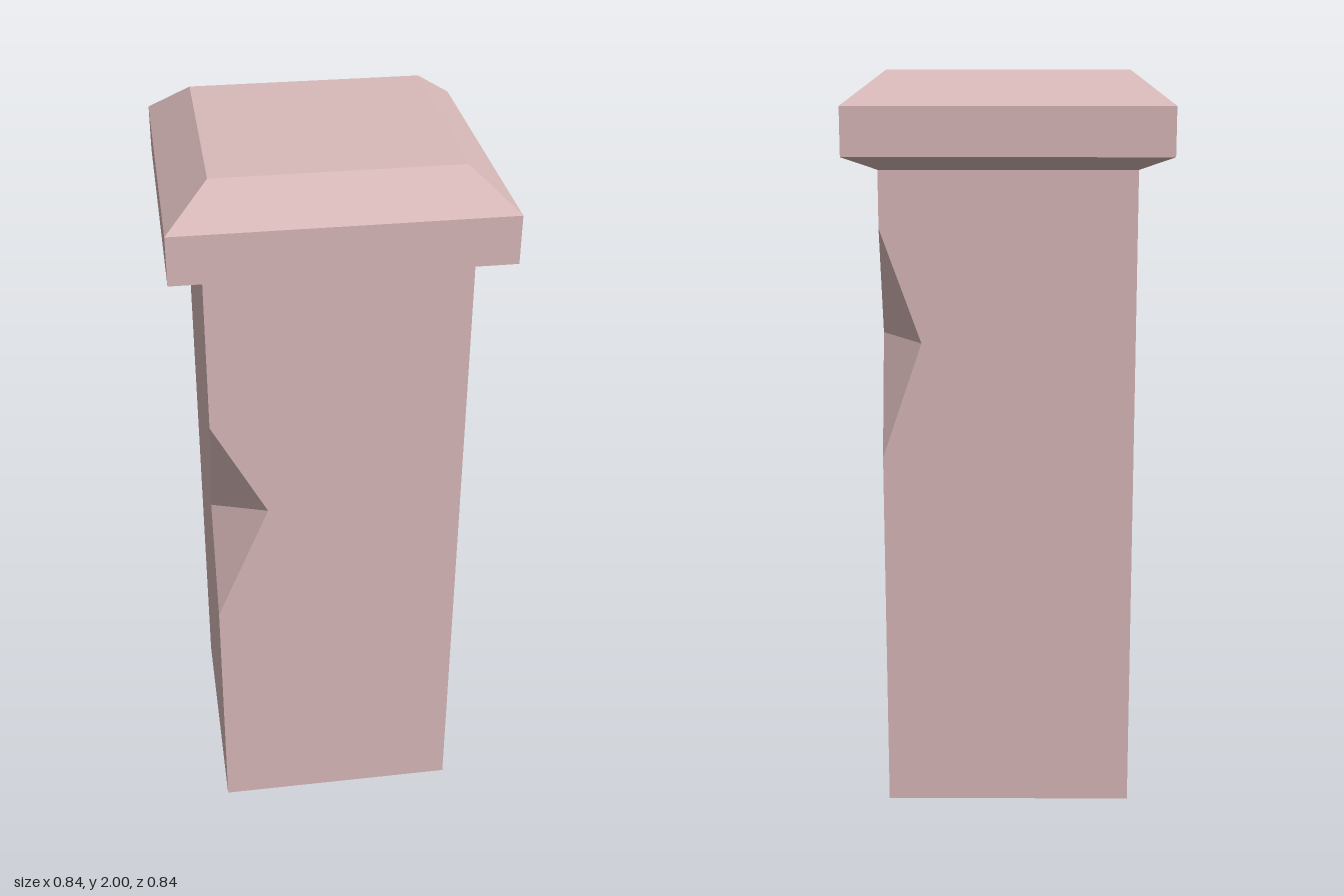
import * as THREE from 'three';

const H = 0.335;   // half width of the shaft
const TOP = 1.75;  // height where the shaft meets the cap

// Flat polygon faces, each fanned from its first corner
function facesToGeometry(faces) {
  const pos = [];
  for (const f of faces) {
    for (let i = 1; i < f.length - 1; i++) pos.push(...f[0], ...f[i], ...f[i + 1]);
  }
  const g = new THREE.BufferGeometry();
  g.setAttribute('position', new THREE.Float32BufferAttribute(pos, 3));
  g.computeVertexNormals();
  return g;
}

// Two adjoining walls of the shaft with a chip cut from their shared edge.
// cutA is [inset, height] on the +z wall, cutB on the -x wall.
function chippedWalls(chipTop, chipBottom, cutA, cutB) {
  const T = [-H, chipTop, H];
  const B = [-H, chipBottom, H];
  const A = [-H + cutA[0], cutA[1], H];
  const S = [-H, cutB[1], H - cutB[0]];
  const edgeLow = [-H, 0, H], edgeHigh = [-H, TOP, H];
  return facesToGeometry([
    [A, B, edgeLow, [H, 0, H], [H, TOP, H], edgeHigh, T],      // +z wall
    [S, T, edgeHigh, [-H, TOP, -H], [-H, 0, -H], edgeLow, B],  // -x wall
    [T, S, A],                                                 // chip, upper facet
    [B, A, S],                                                 // chip, lower facet
    [edgeLow, [-H, 0, -H], [H, 0, H]],                         // half of the base
  ]);
}

export function createModel() {
  const model = new THREE.Group();
  model.name = 'stonePost';
  const stone = new THREE.MeshStandardMaterial({ color: 0xd8b8b8, flatShading: true });
  stone.name = 'pinkStone';

  // Shaft: two half shells, each with one chipped edge
  const shaft = new THREE.Group();
  shaft.name = 'shaft';
  const front = new THREE.Mesh(chippedWalls(1.33, 0.71, [0.145, 1.055], [0.125, 1.0]), stone);
  front.name = 'frontRightWalls';
  const back = new THREE.Mesh(chippedWalls(1.6, 0.99, [0.107, 1.3], [0.095, 1.315]), stone);
  back.name = 'backLeftWalls';
  back.rotation.y = Math.PI;
  shaft.add(front, back);

  // Cap: square lathe with a flared underside and bevelled top
  const profile = [[H, TOP], [0.42, 1.785], [0.42, 1.91], [0.31, 2], [0, 2]]
    .map(([r, y]) => new THREE.Vector2(r * Math.SQRT2, y));
  const capGeo = new THREE.LatheGeometry(profile, 4, Math.PI / 4).toNonIndexed();
  capGeo.computeVertexNormals();
  const cap = new THREE.Mesh(capGeo, stone);
  cap.name = 'cap';

  model.add(shaft, cap);
  return model;
}
